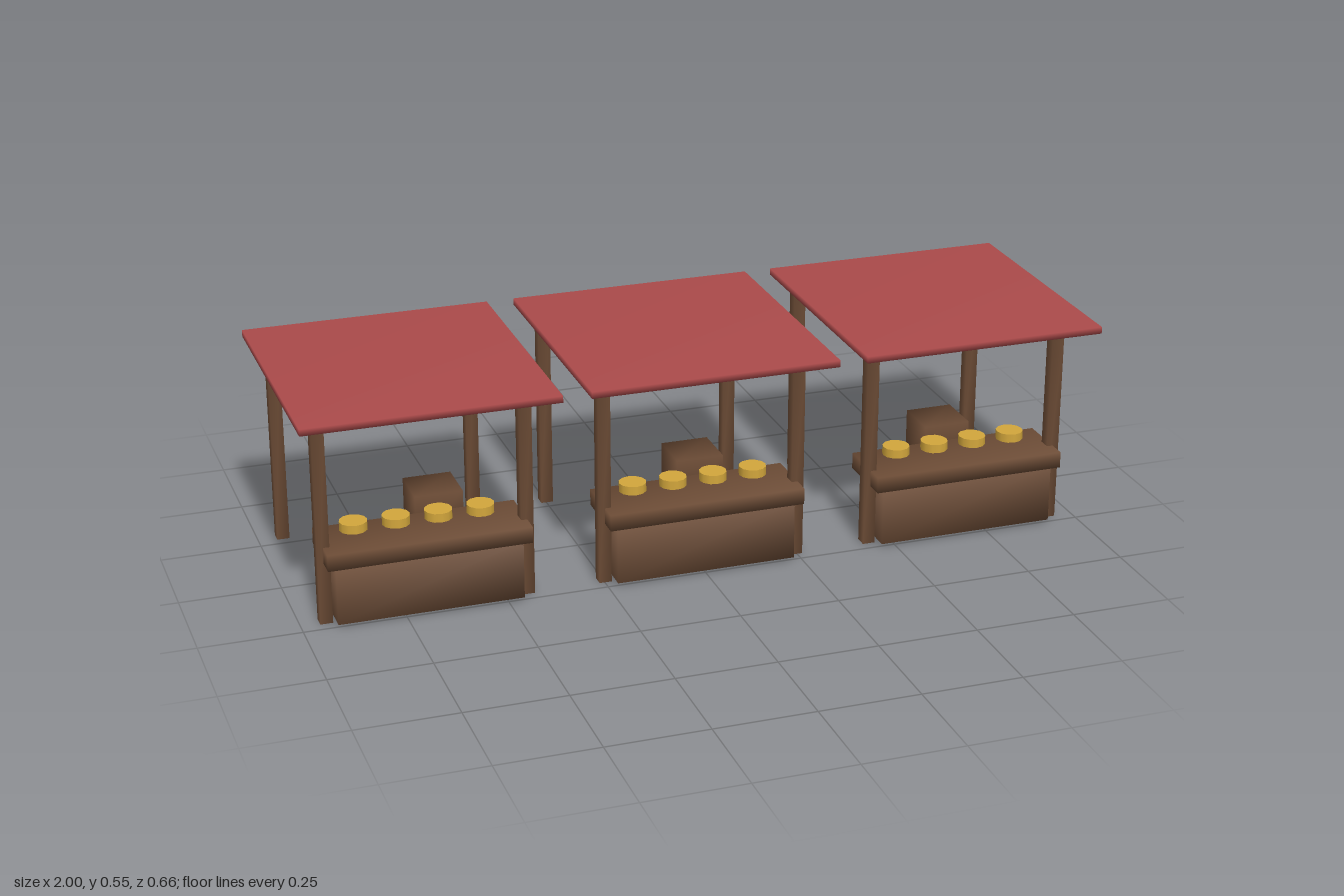
import * as THREE from 'three';
import { mergeVertices } from 'three/addons/utils/BufferGeometryUtils.js';

const wood = new THREE.MeshStandardMaterial({ name: 'brown wood', color: 0x6b4b35 });
const cloth = new THREE.MeshStandardMaterial({ name: 'red cloth', color: 0xaa4a4a });
const gold = new THREE.MeshStandardMaterial({ name: 'golden goods', color: 0xd2a63c });

// Box with shared corners, so its shading runs smoothly round the edges
function softBox(w, h, d) {
  const box = new THREE.BoxGeometry(w, h, d);
  box.deleteAttribute('normal');
  box.deleteAttribute('uv');
  box.clearGroups();
  const geometry = mergeVertices(box);
  geometry.computeVertexNormals();
  return geometry;
}

function add(group, name, geometry, material, x, y, z) {
  const mesh = new THREE.Mesh(geometry, material);
  mesh.name = name;
  mesh.position.set(x, y, z);
  group.add(mesh);
}

function createStall() {
  const stall = new THREE.Group();
  stall.name = 'marketStall';

  // Flat canopy floating just above four square posts
  add(stall, 'canopy', softBox(0.62, 0.017, 0.662), cloth, 0, 0.5395, 0);
  const postGeometry = softBox(0.031, 0.518, 0.031);
  for (const x of [-0.248, 0.248]) {
    add(stall, 'frontPost', postGeometry, wood, x, 0.259, 0.208);
    add(stall, 'backPost', postGeometry, wood, x, 0.259, -0.29);
  }

  // Counter with an overhanging top
  add(stall, 'counterBody', softBox(0.455, 0.147, 0.145), wood, 0, 0.0835, 0.187);
  add(stall, 'counterTop', softBox(0.496, 0.041, 0.166), wood, 0, 0.1765, 0.187);

  // Row of round goods above the counter
  const goodsGeometry = new THREE.CylinderGeometry(0.034, 0.034, 0.022, 12);
  for (let i = 0; i < 4; i++) {
    add(stall, 'goods', goodsGeometry, gold, -0.166 + i * 0.103, 0.229, 0.186);
  }

  // Crate at the back
  add(stall, 'crate', softBox(0.124, 0.125, 0.124), wood, 0.124, 0.0625, -0.207);
  return stall;
}

export function createModel() {
  const model = new THREE.Group();
  model.name = 'marketStalls';
  for (const x of [-0.69, 0, 0.69]) {
    const stall = createStall();
    stall.position.x = x;
    model.add(stall);
  }
  return model;
}
